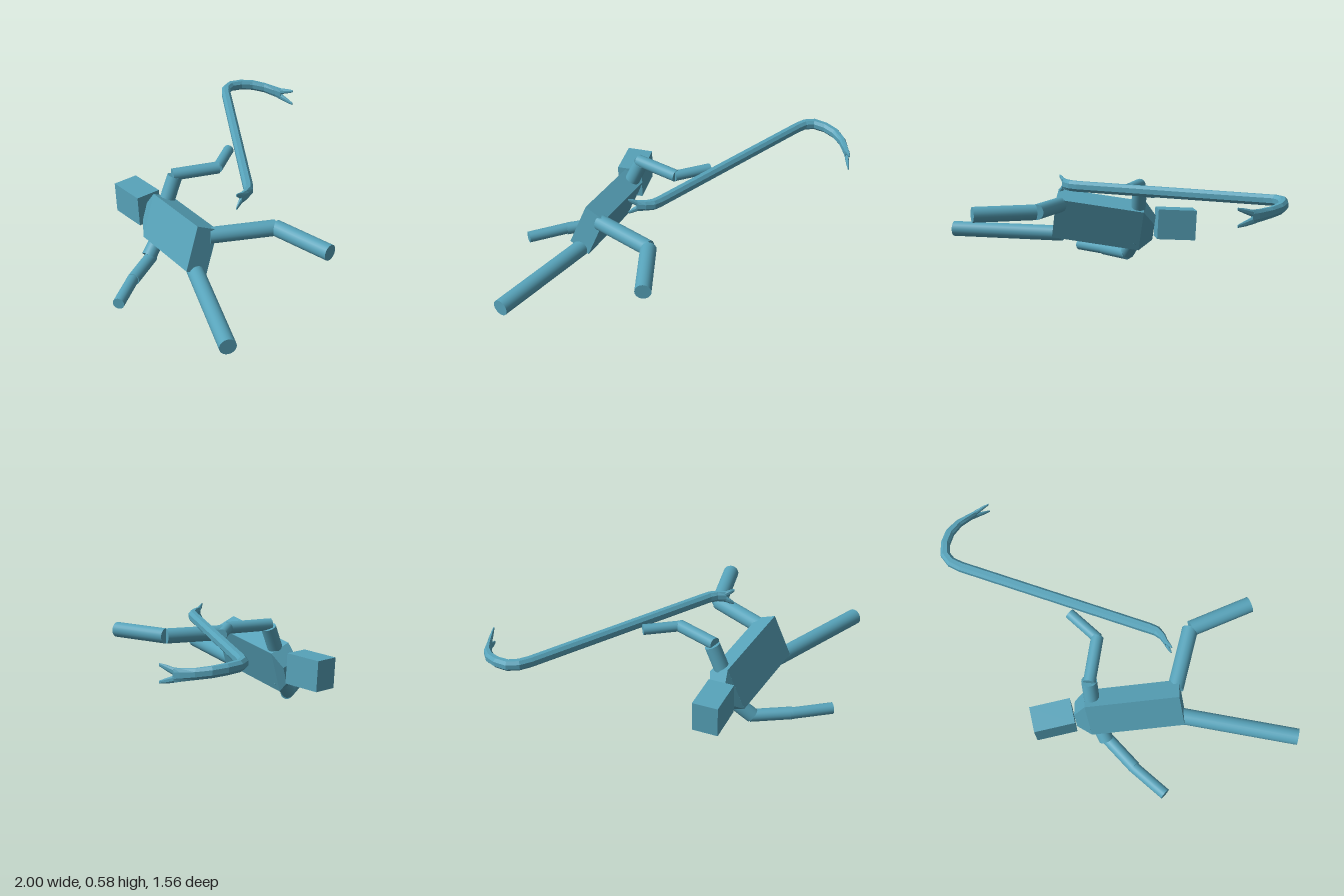
import * as THREE from 'three';

const V = (a) => new THREE.Vector3(...a);

export function createModel() {
  const group = new THREE.Group();
  const blue = new THREE.MeshStandardMaterial({ color: 0x57a3ba });
  blue.name = 'steel blue';

  function add(name, geometry) {
    const mesh = new THREE.Mesh(geometry, blue);
    mesh.name = name;
    group.add(mesh);
  }

  // Slanted box from its centre and three edge vectors; taper shrinks the -Z end
  function block(name, center, x, y, z, taperX = 1, taperY = 1) {
    const geo = new THREE.BoxGeometry(1, 1, 1);
    const p = geo.attributes.position;
    for (let i = 0; i < p.count; i++) {
      if (p.getZ(i) < 0) p.setXY(i, p.getX(i) * taperX, p.getY(i) * taperY);
    }
    const m = new THREE.Matrix4().makeBasis(V(x), V(y), V(z)).setPosition(V(center));
    const flat = geo.applyMatrix4(m).toNonIndexed();
    flat.computeVertexNormals();
    add(name, flat);
  }

  // Round limb section between two points
  function limb(name, from, to, radius) {
    const a = V(from), b = V(to), dir = b.clone().sub(a);
    const geo = new THREE.CylinderGeometry(radius, radius, dir.length(), 24);
    const q = new THREE.Quaternion().setFromUnitVectors(V([0, 1, 0]), dir.normalize());
    geo.applyQuaternion(q).translate(...a.add(b).multiplyScalar(0.5).toArray());
    add(name, geo);
  }

  // Faceted bar swept through stations [x, y, z, halfWidth, halfHeight]
  function bar(name, stations) {
    const section = [[1, -0.45], [1, 0.45], [0.45, 1], [-0.45, 1],
      [-1, 0.45], [-1, -0.45], [-0.45, -1], [0.45, -1]];
    const n = section.length, last = stations.length - 1;
    const positions = [], index = [];
    stations.forEach(([x, y, z, w, h], i) => {
      const prev = stations[Math.max(i - 1, 0)], next = stations[Math.min(i + 1, last)];
      const t = new THREE.Vector3(next[0] - prev[0], 0, next[2] - prev[2]).normalize();
      const side = V([0, 1, 0]).cross(t);
      for (const [s, u] of section) {
        positions.push(x + side.x * s * w, y + u * h, z + side.z * s * w);
      }
    });
    for (let i = 0; i < last; i++) {
      for (let j = 0; j < n; j++) {
        const k = (j + 1) % n, a = i * n + j, b = i * n + k;
        index.push(a, b, b + n, a, b + n, a + n);
      }
    }
    for (let j = 1; j < n - 1; j++) {
      index.push(0, j + 1, j, last * n, last * n + j, last * n + j + 1);
    }
    const geo = new THREE.BufferGeometry();
    geo.setAttribute('position', new THREE.Float32BufferAttribute(positions, 3));
    geo.setIndex(index);
    const flat = geo.toNonIndexed();
    flat.computeVertexNormals();
    add(name, flat);
  }

  // Torso, tapered neck and head
  const depth = [0.11, -0.055, 0.05], breadth = [0.1, 0.25, 0];
  block('torso', [-0.445, 0.27, -0.08], depth, breadth, [-0.18, 0.08, 0.51]);
  block('neck', [-0.342, 0.225, -0.37], depth, breadth, [-0.025, 0.011, 0.07], 0.8, 0.4);
  block('head', [-0.315, 0.243, -0.54], [0.15, 0, 0.03], [0, 0.185, -0.01], [-0.045, 0.012, 0.235]);

  // Legs
  limb('rightLeg', [-0.55, 0.177, 0.125], [-0.96, 0.177, 0.733], 0.048);
  limb('leftThigh', [-0.46, 0.37, 0.165], [-0.16, 0.37, 0.395], 0.047);
  limb('leftShin', [-0.16, 0.37, 0.4], [-0.16, 0.37, 0.78], 0.047);

  // Raised left arm
  limb('leftShoulder', [-0.33, 0.31, -0.3], [-0.255, 0.485, -0.285], 0.045);
  limb('leftUpperArm', [-0.27, 0.5, -0.29], [-0.035, 0.5, -0.14], 0.036);
  limb('leftForearm', [-0.045, 0.5, -0.14], [0.16, 0.5, -0.23], 0.031);

  // Lowered right arm
  limb('rightShoulder', [-0.37, 0.15, -0.3], [-0.495, 0.045, -0.285], 0.044);
  limb('rightUpperArm', [-0.48, 0.037, -0.28], [-0.715, 0.037, -0.2], 0.037);
  limb('rightForearm', [-0.7, 0.037, -0.21], [-0.935, 0.037, -0.1], 0.034);

  // Hooked pry bar
  bar('pryBar', [
    [-0.24, 0.525, 0.204, 0.011, 0.034], [-0.19, 0.525, 0.2, 0.018, 0.031],
    [-0.145, 0.523, 0.183, 0.026, 0.031], [-0.11, 0.521, 0.15, 0.028, 0.031],
    [0.68, 0.504, -0.7, 0.028, 0.03], [0.73, 0.504, -0.742, 0.028, 0.03],
    [0.79, 0.501, -0.757, 0.028, 0.03], [0.86, 0.494, -0.73, 0.026, 0.03],
    [0.92, 0.484, -0.68, 0.025, 0.03], [0.96, 0.472, -0.61, 0.02, 0.03],
    [0.98, 0.46, -0.53, 0.014, 0.034], [0.986, 0.455, -0.49, 0.011, 0.039],
  ]);

  // Split claws at both ends of the bar
  for (const [name, s] of [['upper', 1], ['lower', -1]]) {
    bar(name + 'StraightClaw', [
      [-0.235, 0.525 + s * 0.017, 0.204, 0.011, 0.017],
      [-0.26, 0.525 + s * 0.03, 0.208, 0.008, 0.015],
      [-0.285, 0.525 + s * 0.043, 0.214, 0.003, 0.008],
    ]);
    bar(name + 'HookClaw', [
      [0.986, 0.455 + s * 0.019, -0.495, 0.011, 0.019],
      [0.99, 0.455 + s * 0.033, -0.45, 0.008, 0.015],
      [0.994, 0.455 + s * 0.046, -0.405, 0.003, 0.008],
    ]);
  }

  return group;
}
